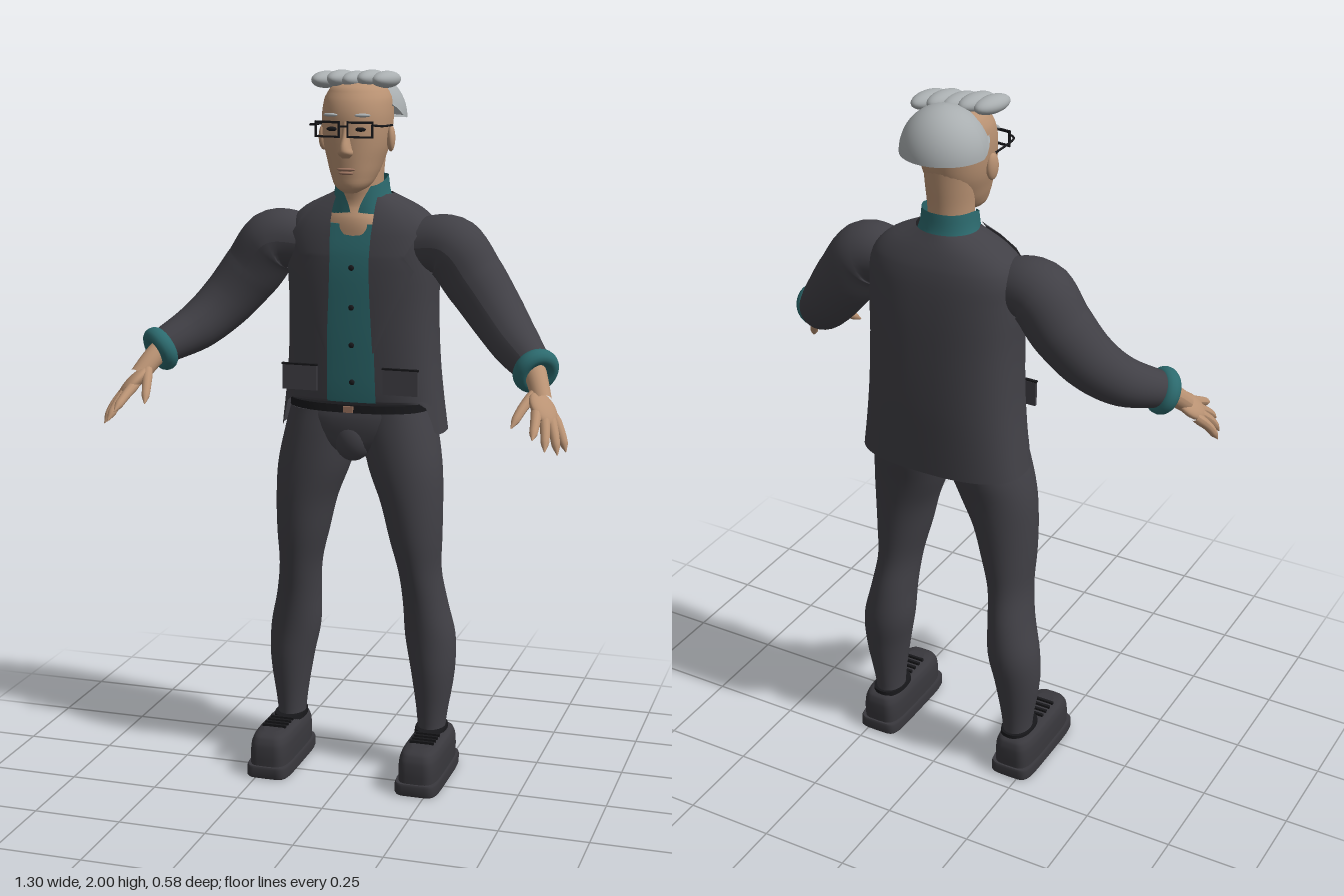
import * as THREE from 'three';

const mat = (name, color, side = THREE.FrontSide) => {
  const m = new THREE.MeshStandardMaterial({ color, side });
  m.name = name;
  return m;
};
const V = (a) => new THREE.Vector3(...a);

// Smooth interpolation through sections [y, halfWidth, zBack, zFront, squareness, xCentre, opening]
function sampler(secs) {
  const full = secs.map(([y, rx, zb, zf, n = 2, cx = 0, open = 0]) => [rx, zb, zf, n, cx, open]);
  const interp = new THREE.CubicInterpolant(secs.map((s) => s[0]), full.flat(), 6, new Float32Array(6));
  return (y) => Array.from(interp.evaluate(y));
}

// Skin stacked superellipse sections; open shells leave a gap at the front
function loft(secs, { steps = 4, cols = 36, open = false, capped = true } = {}) {
  const at = sampler(secs), ys = [], pos = [], idx = [];
  secs.forEach(([y], i) => {
    if (i) for (let k = 1; k <= steps; k++) ys.push(THREE.MathUtils.lerp(secs[i - 1][0], y, k / steps));
    else ys.push(y);
  });
  const n = open ? cols + 1 : cols;
  const pw = (v, e) => Math.sign(v) * Math.abs(v) ** e;
  for (const y of ys) {
    const [rx, zb, zf, sq, cx, gap] = at(y);
    const a0 = open ? Math.asin(Math.min(1, gap / rx) ** (sq / 2)) : 0;
    for (let j = 0; j < n; j++) {
      const a = a0 + (j / cols) * (Math.PI * 2 - 2 * a0);
      pos.push(cx + rx * pw(Math.sin(a), 2 / sq), y, (zb + zf) / 2 + (zf - zb) / 2 * pw(Math.cos(a), 2 / sq));
    }
  }
  for (let i = 0; i < ys.length - 1; i++)
    for (let j = 0; j < cols; j++) {
      const a = i * n + j, b = i * n + (j + 1) % n;
      idx.push(a, b, a + n, b, b + n, a + n);
    }
  if (capped && !open)
    for (const row of [0, ys.length - 1]) {
      const [, zb, zf, , cx] = at(ys[row]), c = pos.length / 3;
      pos.push(cx, ys[row], (zb + zf) / 2, ...pos.slice(row * n * 3, (row + 1) * n * 3));
      for (let j = 0; j < n; j++) {
        const a = c + 1 + j, b = c + 1 + (j + 1) % n;
        idx.push(c, ...(row ? [a, b] : [b, a]));
      }
    }
  return finish(pos, idx);
}

function finish(pos, idx) {
  const g = new THREE.BufferGeometry();
  g.setAttribute('position', new THREE.Float32BufferAttribute(pos, 3));
  g.setIndex(idx);
  g.computeVertexNormals();
  return g;
}

// Tube along points with a varying radius
function limb(points, radii, seg = 24, sides = 20) {
  const g = new THREE.TubeGeometry(new THREE.CatmullRomCurve3(points.map(V)), seg, 1, sides);
  const p = g.attributes.position, nn = g.attributes.normal;
  for (let i = 0; i < p.count; i++) {
    const t = Math.floor(i / (sides + 1)) / seg * (radii.length - 1), k = Math.min(Math.floor(t), radii.length - 2);
    const r = THREE.MathUtils.lerp(radii[k], radii[k + 1], t - k) - 1;
    p.setXYZ(i, p.getX(i) + nn.getX(i) * r, p.getY(i) + nn.getY(i) * r, p.getZ(i) + nn.getZ(i) * r);
  }
  g.computeVertexNormals();
  return g;
}

const ball = (x, y, z, rx, ry, rz, turn = 0) =>
  new THREE.SphereGeometry(1, 24, 16).scale(rx, ry, rz).rotateY(turn).translate(x, y, z);
const box = (x, y, z, w, h, d) => new THREE.BoxGeometry(w, h, d).translate(x, y, z);

function mirrored(geo) {
  const g = geo.clone().scale(-1, 1, 1);
  const src = g.index ? Array.from(g.index.array) : [...Array(g.attributes.position.count).keys()];
  for (let i = 0; i < src.length; i += 3) [src[i + 1], src[i + 2]] = [src[i + 2], src[i + 1]];
  g.setIndex(src);
  return g;
}

export function createModel() {
  const root = new THREE.Group();
  const suit = mat('charcoal suit', 0x414046, THREE.DoubleSide), shoe = mat('shoe leather', 0x39383d);
  const teal = mat('teal shirt', 0x2c6a6e, THREE.DoubleSide), skin = mat('skin', 0xb99273);
  const hair = mat('grey hair', 0xa9aeb0, THREE.DoubleSide), black = mat('black', 0x18181b);
  const lip = mat('lips', 0x9c7460);
  const add = (name, geo, m) => {
    const mesh = new THREE.Mesh(geo, m);
    mesh.name = name;
    root.add(mesh);
  };
  const pair = (name, geo, m) => {
    add('left' + name, geo, m);
    add('right' + name, mirrored(geo), m);
  };

  // Jacket: open shell whose front hem sits higher than the sides and back
  const body = [
    [1.0, .238, -.285, -.03, 2.6, 0, .07], [1.1, .225, -.288, -.022, 2.6, 0, .07], [1.2, .215, -.29, -.016, 2.6, 0, .068],
    [1.35, .21, -.286, -.012, 2.6, 0, .066], [1.5, .213, -.275, -.014, 2.6, 0, .064], [1.58, .205, -.26, -.03, 2.5, 0, .064],
    [1.625, .165, -.24, -.05, 2.3, 0, .064], [1.665, .085, -.215, -.07, 2, 0, .06]];
  const jacket = loft(body, { open: true, cols: 56 });
  const jp = jacket.attributes.position;
  for (let i = 0; i < jp.count; i++) {
    const y = jp.getY(i), h = THREE.MathUtils.smoothstep(jp.getZ(i), -.1, -.065);
    if (y < 1.1) jp.setY(i, 1.1 - (1.1 - y) * (1 - .9 * h));
  }
  jacket.computeVertexNormals();
  add('jacket', jacket, suit);

  // Lapels: strips lying just above the jacket front, with a notch
  const at = sampler(body);
  const frontZ = (x, y) => {
    const [rx, zb, zf, sq] = at(y);
    return (zb + zf) / 2 + (zf - zb) / 2 * (1 - Math.min(.98, x / rx) ** sq) ** (1 / sq);
  };
  const rows = [[1.24, .066, .07], [1.32, .062, .105], [1.4, .058, .142], [1.465, .056, .174], [1.5, .056, .15],
    [1.51, .056, .152], [1.56, .058, .178], [1.6, .06, .155], [1.635, .06, .12], [1.66, .06, .08]];
  const lp = [], li = [];
  rows.forEach(([y, a, b], i) => {
    for (let j = 0; j <= 6; j++) {
      const x = THREE.MathUtils.lerp(a, b, j / 6), k = i * 7 + j;
      lp.push(x, y, frontZ(x, y) + .012);
      if (i && j) li.push(k - 8, k - 7, k - 1, k - 7, k, k - 1);
    }
  });
  pair('Lapel', finish(lp, li), suit);
  pair('PocketFlap', box(.145, 1.16, -.012, .1, .07, .009), suit);
  pair('PocketSeam', box(.145, 1.197, -.011, .104, .005, .009), black);

  // Shirt, buttons and stand collar
  const inner = body.slice(1, 6).map(([y, rx, zb, zf, sq]) => [y, rx - .014, zb + .014, zf - .012, sq]);
  inner[4][0] = 1.588;
  add('shirt', loft([[1.06, .19, -.25, -.04, 2.6], ...inner]), teal);
  for (const y of [1.47, 1.36, 1.255, 1.15]) add('button', ball(0, y, frontZ(0, y) - .011, .008, .008, .005), black);
  const collar = loft([[1.635, .09, -.215, -.05, 2.2, 0, .008], [1.67, .078, -.205, -.052, 2.2, 0, .018],
    [1.715, .072, -.2, -.056, 2.2, 0, .042]], { open: true });
  const cp = collar.attributes.position;
  for (let i = 0; i < cp.count; i++) cp.setY(i, cp.getY(i) - .028 * THREE.MathUtils.smoothstep(cp.getZ(i), -.15, -.05));
  collar.computeVertexNormals();
  add('collar', collar, teal);

  // Neck and head
  add('neck', loft([[1.54, .13, -.22, -.035, 2.3], [1.6, .1, -.21, -.04], [1.64, .064, -.192, -.062],
    [1.7, .06, -.188, -.06], [1.78, .066, -.19, -.07], [1.84, .07, -.19, -.08]]), skin);
  add('head', loft([[1.676, .018, -.045, .004], [1.69, .042, -.09, .018, 2.1], [1.72, .06, -.135, .024, 2.2],
    [1.76, .074, -.165, .027, 2.2], [1.8, .086, -.185, .028, 2.2], [1.85, .093, -.195, .027, 2.2],
    [1.9, .094, -.2, .022, 2.1], [1.94, .084, -.19, .002], [1.965, .056, -.16, -.03], [1.975, .012, -.11, -.08]]), skin);
  add('nose', loft([[1.772, .012, 0, .034], [1.785, .021, 0, .056], [1.8, .017, 0, .058], [1.83, .011, 0, .044],
    [1.87, .011, 0, .031]], { cols: 20 }), skin);
  add('upperLip', ball(0, 1.742, .024, .026, .005, .009), lip);
  add('lowerLip', ball(0, 1.732, .023, .021, .005, .009), lip);
  pair('Ear', ball(.095, 1.82, -.08, .012, .036, .021, .2), skin);
  pair('Eye', ball(.04, 1.849, .022, .015, .006, .005), black);
  pair('Brow', ball(.045, 1.886, .02, .022, .005, .007, .25), hair);

  // Hair: swept-back cap plus rolled front locks
  const cap = new THREE.SphereGeometry(1, 40, 16, 0, Math.PI * 2, 0, Math.PI / 2).scale(.115, .122, .112).translate(0, 1.87, -.158);
  const hp = cap.attributes.position;
  for (let i = 0; i < hp.count; i++) hp.setY(i, Math.max(hp.getY(i), 1.87 + Math.max(0, hp.getZ(i) + .15) * .7));
  cap.computeVertexNormals();
  add('hairCap', cap, hair);
  add('hairUnderside', new THREE.CircleGeometry(1, 32, 0, Math.PI).scale(.114, .11, 1).rotateX(-Math.PI / 2).translate(0, 1.871, -.158), hair);
  for (let i = 0; i < 5; i++)
    add('frontLock', ball(-.08 + i * .039, 1.975 + .003 * (i % 2), -.055 - i * .011, .03, .023, .06, -.25), hair);

  // Glasses: rectangular rims, bridge and temples
  const rim = new THREE.Shape([[-.036, -.022], [.036, -.022], [.036, .022], [-.036, .022]].map((p) => new THREE.Vector2(...p)));
  rim.holes.push(new THREE.Path([[-.031, -.017], [-.031, .016], [.031, .016], [.031, -.017]].map((p) => new THREE.Vector2(...p))));
  pair('Rim', new THREE.ExtrudeGeometry(rim, { depth: .006, bevelEnabled: false }).rotateY(.12).translate(.045, 1.85, .042), black);
  pair('Temple', limb([[.08, 1.862, .04], [.098, 1.86, .03], [.1, 1.855, -.075]], [.003, .003, .003], 12, 8), black);
  add('bridge', box(0, 1.858, .047, .024, .005, .006), black);

  // Sleeves and rolled cuffs
  pair('Sleeve', limb([[.15, 1.525, -.125], [.25, 1.525, -.125], [.32, 1.44, -.125], [.39, 1.352, -.1], [.455, 1.285, -.045],
    [.53, 1.235, .045]], [.07, .09, .086, .077, .066, .05], 40, 28), suit);
  const axis = V([.075, -.05, .09]).normalize();
  const turn = new THREE.Quaternion().setFromUnitVectors(V([0, 0, 1]), axis);
  pair('Cuff', new THREE.TorusGeometry(.044, .021, 14, 36).scale(1, 1, 1.15).applyQuaternion(turn).translate(.535, 1.23, .052), teal);

  // Hands: wrist, flattened palm, four fingers and a thumb
  pair('Wrist', limb([[.52, 1.24, .03], [.545, 1.21, .08], [.57, 1.165, .13]], [.034, .029, .026]), skin);
  const d = V([.06, -.09, .13]).normalize(), n = d.clone().cross(V([-.07, .04, .09])).normalize();
  const palm = new THREE.SphereGeometry(1, 24, 16).scale(.045, .019, .06);
  palm.applyMatrix4(new THREE.Matrix4().makeBasis(n.clone().cross(d), n, d)).translate(.577, 1.15, .148);
  pair('Palm', palm, skin);
  const fingers = [
    [[.562, 1.155, .16], [.572, 1.125, .225], [.578, 1.095, .285]],
    [[.58, 1.145, .155], [.597, 1.105, .215], [.607, 1.062, .266]],
    [[.592, 1.137, .145], [.617, 1.093, .195], [.633, 1.047, .228]],
    [[.6, 1.13, .13], [.628, 1.09, .163], [.647, 1.047, .185]],
    [[.548, 1.185, .115], [.527, 1.152, .175], [.51, 1.11, .233]]];
  for (const f of fingers) pair('Finger', limb(f, [.013, .015, .0135, .0125, .011, .001], 18, 12), skin);

  // Trousers and belt
  add('trouserSeat', loft([[.93, .03, -.15, -.05], [.96, .11, -.22, -.015], [1.0, .18, -.245, -.004, 2.3], [1.05, .2, -.25, 0, 2.4],
    [1.085, .2, -.25, -.006, 2.5]]), suit);
  add('fly', ball(0, .99, -.04, .055, .065, .045), suit);
  add('belt', loft([[1.07, .203, -.253, .003, 2.5], [1.092, .203, -.253, .001, 2.5]], { steps: 1 }), black);
  add('buckle', box(0, 1.08, .003, .028, .018, .008), lip);
  pair('TrouserLeg', loft([[.09, .038, -.175, -.075, 2, .212], [.15, .041, -.18, -.075, 2, .213], [.3, .063, -.205, -.062, 2, .213],
    [.4, .072, -.22, -.06, 2, .203], [.5, .063, -.212, -.05, 2, .19], [.6, .06, -.195, -.03, 2, .178], [.7, .074, -.198, -.01, 2, .167],
    [.8, .087, -.208, 0, 2, .155], [.9, .103, -.225, .003, 2.1, .134], [1.0, .105, -.25, -.002, 2.2, .113], [1.07, .1, -.25, -.01, 2.3, .1]]), suit);

  // Shoes: sole, upper, ankle opening and laces
  pair('Sole', loft([[0, .062, -.205, .1, 6, .221], [.006, .064, -.21, .106, 6, .221], [.03, .064, -.21, .106, 6, .221],
    [.036, .062, -.207, .103, 6, .221]], { steps: 1, cols: 48 }), shoe);
  pair('ShoeUpper', loft([[.034, .058, -.202, .097, 4.5, .221], [.08, .058, -.203, .096, 4.5, .221], [.108, .054, -.199, .088, 4.2, .221],
    [.122, .044, -.189, .072, 4, .221], [.127, .03, -.175, .05, 4, .221]], { cols: 48 }), shoe);
  pair('AnkleOpening', loft([[.12, .045, -.187, -.05, 2.4, .214], [.134, .044, -.186, -.056, 2.4, .214]], { steps: 1 }), black);
  for (let i = 0; i < 4; i++) pair('Lace', box(.221, .13, .012 - i * .022, .07, .008, .008), black);

  return root;
}
